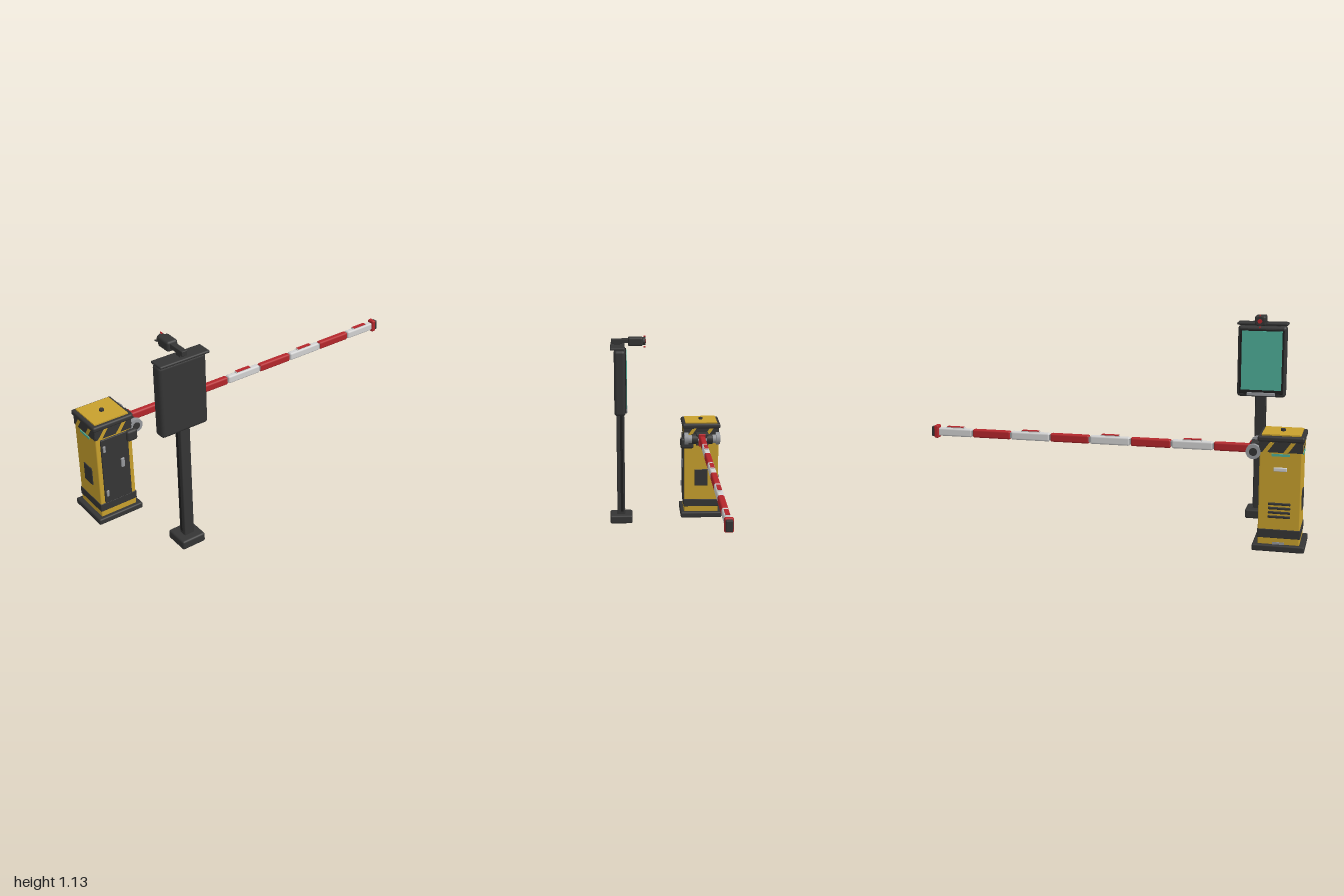
import * as THREE from 'three';
import { RoundedBoxGeometry } from 'three/addons/geometries/RoundedBoxGeometry.js';

const mat = (name, color) => {
  const m = new THREE.MeshStandardMaterial({ color });
  m.name = name;
  return m;
};

export function createModel() {
  const dark = mat('charcoal', 0x353535), black = mat('black', 0x1e1e1e);
  const yellow = mat('yellow', 0xc8a02d), red = mat('red', 0xb5262b);
  const white = mat('white', 0xd2d2d2), grey = mat('steel grey', 0x96989c);
  const teal = mat('screen teal', 0x4fb09a);

  const add = (parent, name, geo, m, x, y, z) => {
    const mesh = new THREE.Mesh(geo, m);
    mesh.name = name;
    mesh.position.set(x, y, z);
    parent.add(mesh);
    return mesh;
  };
  // Box given by its limits on each axis; r rounds the edges
  const box = (parent, name, m, [x0, x1], [y0, y1], [z0, z1], r = 0) => {
    const w = x1 - x0, h = y1 - y0, d = z1 - z0;
    const geo = r ? new RoundedBoxGeometry(w, h, d, 2, r) : new THREE.BoxGeometry(w, h, d);
    return add(parent, name, geo, m, (x0 + x1) / 2, (y0 + y1) / 2, (z0 + z1) / 2);
  };
  const rod = (parent, name, m, r, len, x, y, z) => {
    const mesh = add(parent, name, new THREE.CylinderGeometry(r, r, len, 24), m, x, y, z);
    mesh.rotation.x = Math.PI / 2;
    return mesh;
  };
  const group = (parent, name, x = 0, y = 0, z = 0) => {
    const g = new THREE.Group();
    g.name = name;
    g.position.set(x, y, z);
    parent.add(g);
    return g;
  };

  const model = group(new THREE.Group(), 'parkingBarrier');
  model.removeFromParent();

  // Cabinet, centred on its own axis
  const cabinet = group(model, 'cabinet', -0.87, 0, -0.215);
  const sq = (name, m, half, y, r) => box(cabinet, name, m, [-half, half], y, [-half, half], r);
  box(cabinet, 'cabinetBase', dark, [-0.13, 0.13], [0, 0.034], [-0.125, 0.125], 0.008);
  sq('cabinetBody', yellow, 0.104, [0.03, 0.56], 0.006);
  sq('lowerBand', dark, 0.107, [0.066, 0.111], 0.003);
  sq('cap', dark, 0.115, [0.555, 0.584], 0.01);
  sq('capPlate', yellow, 0.096, [0.58, 0.591]);
  add(cabinet, 'capKnob', new THREE.CylinderGeometry(0.012, 0.012, 0.013, 16), dark, 0, 0.596, 0);

  // Slanted warning stripe outline
  const slash = new THREE.Shape([[-0.032, 0], [-0.008, 0], [0.028, 0.05], [0.004, 0.05]]
    .map(p => new THREE.Vector2(...p)));
  const slashGeo = new THREE.ExtrudeGeometry(slash, { depth: 0.003, bevelEnabled: false });
  const sides = ['front', 'right', 'back', 'left'].map((name, i) => {
    const side = group(cabinet, name + 'Face');
    side.rotation.y = i * Math.PI / 2;
    box(side, 'warningBand', dark, [-0.104, 0.104], [0.503, 0.556], [0.1, 0.107]);
    for (const x of [-0.058, 0.045]) add(side, 'warningStripe', slashGeo, yellow, x, 0.504, 0.1055);
    return side;
  });
  const [front, right, back, left] = sides;

  // Front door with hinges and handle
  box(front, 'door', dark, [-0.079, 0.079], [0.112, 0.495], [0.1, 0.111], 0.004);
  for (const y of [0.17, 0.44]) box(front, 'hinge', grey, [-0.07, -0.056], [y - 0.018, y + 0.018], [0.108, 0.117], 0.003);
  box(front, 'doorHandle', grey, [0.026, 0.046], [0.297, 0.35], [0.108, 0.12], 0.004);

  // Side service panels
  for (const s of [right, left]) box(s, 'servicePanel', dark, [-0.04, 0.04], [0.198, 0.3], [0.1, 0.109], 0.003);

  // Rear vents, handle, status lights
  for (let i = 0; i < 4; i++)
    box(back, 'vent', dark, [-0.055, 0.055], [0.17 + i * 0.022, 0.182 + i * 0.022], [0.1, 0.111], 0.003);
  box(back, 'rearHandle', white, [-0.033, 0.033], [0.408, 0.428], [0.1, 0.112], 0.004);
  box(back, 'rearFootPlate', grey, [-0.03, 0.03], [0.034, 0.046], [0.08, 0.107]);
  for (const s of [back, left]) box(s, 'statusLight', teal, [-0.045, 0.045], [0.484, 0.496], [0.102, 0.108]);

  // Pivot: cross shaft, end discs, arm clamp and motor box
  const pivot = group(model, 'armPivot');
  rod(pivot, 'shaft', grey, 0.025, 0.19, -0.735, 0.497, -0.217);
  for (const z of [-0.122, -0.312]) {
    rod(pivot, 'pivotDisc', grey, 0.037, 0.024, -0.735, 0.501, z);
    const s = Math.sign(z + 0.217);
    rod(pivot, 'discCentre', dark, 0.02, 0.006, -0.735, 0.501, z + s * 0.012);
    rod(pivot, 'shaftCollar', dark, 0.03, 0.035, -0.735, 0.497, -0.217 + s * 0.045);
  }
  box(pivot, 'armClamp', dark, [-0.775, -0.712], [0.46, 0.534], [-0.255, -0.179], 0.006);
  box(pivot, 'clampFrame', red, [-0.72, -0.706], [0.457, 0.532], [-0.237, -0.195], 0.005);
  box(pivot, 'motorBox', dark, [-0.803, -0.742], [0.435, 0.497], [-0.168, -0.088], 0.012);

  // Boom of alternating sections, with red reflectors on the white ones
  const boom = group(model, 'boom');
  const ends = [-0.712, -0.523, -0.307, -0.092, 0.124, 0.339, 0.555, 0.77, 0.965];
  box(boom, 'boomCore', grey, [-0.71, 0.97], [0.483, 0.511], [-0.23, -0.204]);
  for (let i = 0; i < 8; i++) {
    const a = ends[i] + 0.002, b = ends[i + 1] - 0.002;
    box(boom, 'boomSection', i % 2 ? white : red, [a, b], [0.474, 0.519], [-0.234, -0.2], 0.01);
    if (i % 2) {
      const c = (a + b) / 2;
      box(boom, 'reflectorMount', white, [c - 0.05, c + 0.05], [0.515, 0.525], [-0.226, -0.208]);
      box(boom, 'reflector', red, [c - 0.045, c + 0.045], [0.524, 0.527], [-0.228, -0.206]);
    }
  }
  box(boom, 'tipFlange', red, [0.96, 0.985], [0.463, 0.532], [-0.239, -0.195], 0.007);
  box(boom, 'tipCap', dark, [0.98, 1.0], [0.47, 0.525], [-0.234, -0.2], 0.005);

  // Post
  const post = group(model, 'displayPost');
  box(post, 'postBase', dark, [-0.77, -0.636], [0, 0.05], [0.206, 0.34], 0.01);
  box(post, 'postColumn', dark, [-0.73, -0.674], [0.04, 0.69], [0.25, 0.297], 0.005);
  for (const x of [-0.73, -0.674])
    box(post, 'postGroove', black, [x - 0.002, x + 0.002], [0.065, 0.67], [0.261, 0.276]);

  // Display housing, screen facing the boom
  const display = group(model, 'display');
  box(display, 'housing', dark, [-0.835, -0.573], [0.672, 1.057], [0.241, 0.307], 0.018);
  box(display, 'bezel', black, [-0.822, -0.586], [0.69, 1.04], [0.236, 0.25], 0.004);
  box(display, 'screen', teal, [-0.812, -0.596], [0.712, 1.03], [0.232, 0.24]);
  box(display, 'cardSlot', grey, [-0.78, -0.628], [0.68, 0.698], [0.231, 0.245], 0.003);
  box(display, 'roofPlate', dark, [-0.84, -0.567], [1.059, 1.074], [0.244, 0.328], 0.007);
  box(display, 'roofSpacer', dark, [-0.8, -0.608], [1.05, 1.064], [0.255, 0.295]);

  // Camera on its bracket
  const camera = group(model, 'camera');
  box(camera, 'cameraNeck', dark, [-0.717, -0.689], [1.07, 1.09], [0.27, 0.305]);
  box(camera, 'cameraArm', dark, [-0.718, -0.688], [1.085, 1.111], [0.215, 0.322], 0.003);
  box(camera, 'cameraBody', dark, [-0.733, -0.673], [1.068, 1.121], [0.136, 0.224], 0.012);
  rod(camera, 'lensHood', dark, 0.024, 0.02, -0.703, 1.095, 0.131);
  rod(camera, 'lens', red, 0.012, 0.004, -0.703, 1.095, 0.12);
  for (let i = 0; i < 4; i++) {
    const a = i * Math.PI / 2;
    rod(camera, 'indicator', i % 2 ? red : dark, 0.004, 0.012,
      -0.703 + Math.cos(a) * 0.031, 1.093 + Math.sin(a) * 0.031, 0.127);
  }
  return model;
}
